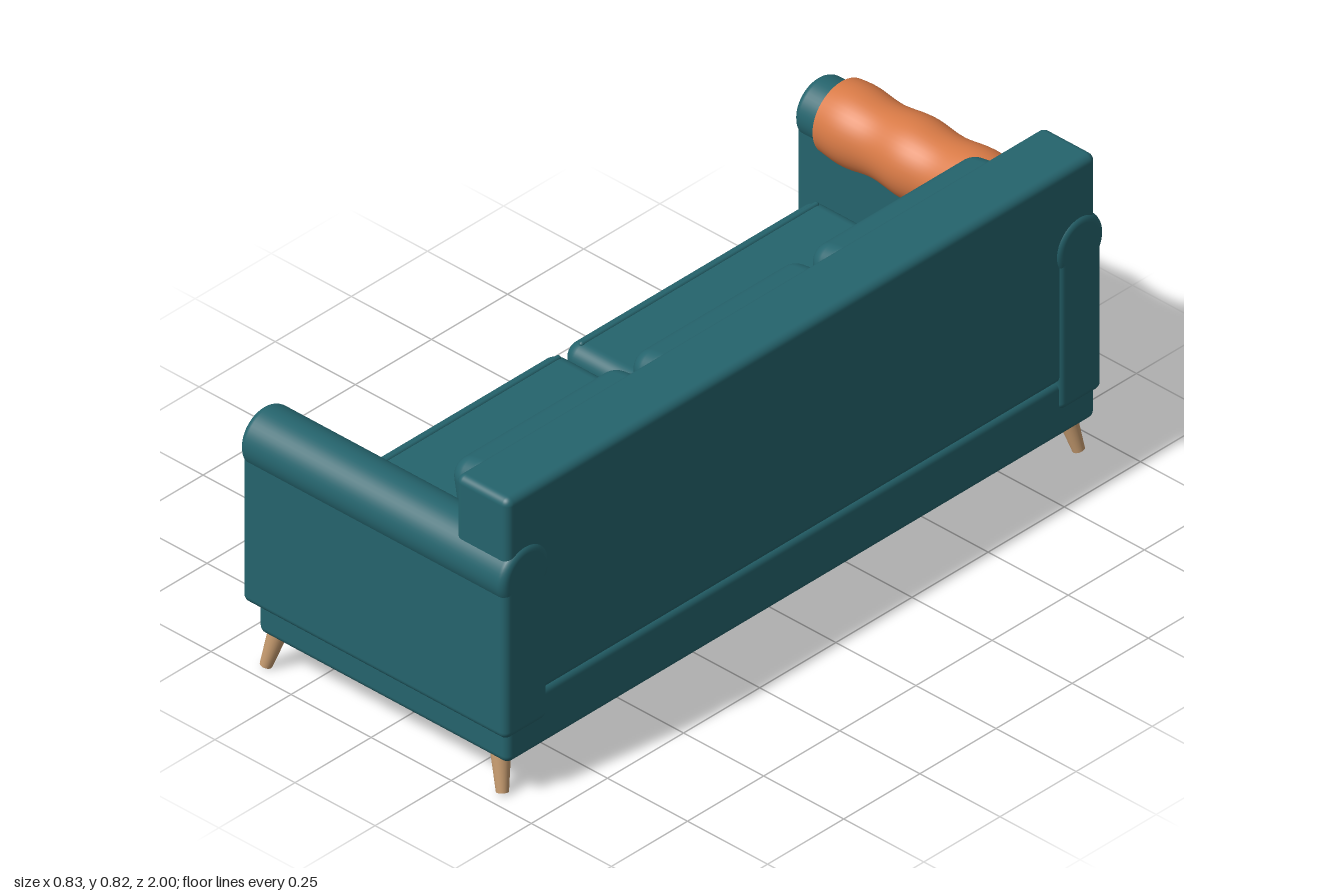
import * as THREE from 'three';
import { RoundedBoxGeometry } from 'three/addons/geometries/RoundedBoxGeometry.js';

const fabric = new THREE.MeshStandardMaterial({ color: 0x25646d });
fabric.name = 'teal fabric';
const wood = new THREE.MeshStandardMaterial({ color: 0xc79c70 });
wood.name = 'pale wood';
const blanket = new THREE.MeshStandardMaterial({ color: 0xd87a46, side: THREE.DoubleSide });
blanket.name = 'orange blanket';

const MID = 0.011; // the sofa body sits slightly off centre because the throw overhangs one arm

function add(parent, name, geometry, material, x = 0, y = 0, z = 0) {
  const mesh = new THREE.Mesh(geometry, material);
  mesh.name = name;
  mesh.position.set(x, y, z);
  parent.add(mesh);
  return mesh;
}

// Rounded box given by its extents along each axis
function softBox(parent, name, [x0, x1], [y0, y1], [z0, z1], radius) {
  const geometry = new RoundedBoxGeometry(x1 - x0, y1 - y0, z1 - z0, 5, radius);
  return add(parent, name, geometry, fabric, (x0 + x1) / 2, (y0 + y1) / 2, (z0 + z1) / 2);
}

// Cylinder with rounded rims, lying along x
function rollGeometry(radius, length, bevel) {
  const points = [new THREE.Vector2(0, -length / 2)];
  for (const end of [-1, 1]) {
    for (let i = 0; i <= 5; i++) {
      const a = (end < 0 ? i : 5 - i) / 5 * Math.PI / 2;
      points.push(new THREE.Vector2(
        radius - bevel + bevel * Math.sin(a),
        end * (length / 2 - bevel + bevel * Math.cos(a))));
    }
  }
  points.push(new THREE.Vector2(0, length / 2));
  return new THREE.LatheGeometry(points, 48).rotateZ(-Math.PI / 2);
}

// Blanket wrapped round the arm roll, with soft waves along its length
function throwGeometry(x0, x1, radius) {
  const geometry = new THREE.PlaneGeometry(1, 1, 48, 28);
  const p = geometry.attributes.position;
  const start = -0.08, end = Math.PI + 0.72;
  for (let i = 0; i < p.count; i++) {
    const x = THREE.MathUtils.lerp(x0, x1, p.getX(i) + 0.5);
    const t = p.getY(i) + 0.5;
    const a = THREE.MathUtils.lerp(end, start, t);
    const r = radius + 0.004 * Math.cos((x + 0.1) / 0.19 * Math.PI * 2 + 1.2 * (t - 0.5));
    p.setXYZ(i, x, r * Math.sin(a), -r * Math.cos(a));
  }
  geometry.computeVertexNormals();
  return geometry;
}

export function createModel() {
  const sofa = new THREE.Group();
  sofa.name = 'sofa';

  // Frame: base and tall backrest
  softBox(sofa, 'base', [-0.377, 0.405], [0.1, 0.255], [MID - 0.967, MID + 0.967], 0.02);
  softBox(sofa, 'backrest', [0.24, 0.406], [0.25, 0.824], [MID - 0.967, MID + 0.967], 0.02);

  // Arms: upright panel with a round roll on top
  for (const side of [-1, 1]) {
    const z = MID + side * 0.91;
    softBox(sofa, 'armPanel', [-0.415, 0.413], [0.175, 0.63], [z - 0.071, z + 0.071], 0.02);
    add(sofa, 'armRoll', rollGeometry(0.079, 0.828, 0.02), fabric, -0.001, 0.6, z);
  }

  // Seat cushions with piping along the front edge
  for (const side of [-1, 1]) {
    const z = MID + side * 0.424;
    softBox(sofa, 'seatCushion', [-0.358, 0.26], [0.262, 0.42], [z - 0.416, z + 0.416], 0.04);
    for (const [x, y] of [[-0.32, 0.418], [-0.352, 0.282]]) {
      const piping = new THREE.CapsuleGeometry(0.007, 0.77, 4, 10).rotateX(Math.PI / 2);
      add(sofa, 'seatPiping', piping, fabric, x, y, z);
    }
  }

  // Three loose back cushions, tipped slightly forward
  for (const z of [-0.582, 0.007, 0.596]) {
    const cushion = add(sofa, 'backCushion', new RoundedBoxGeometry(0.125, 0.36, 0.56, 6, 0.05),
      fabric, 0.197, 0.583, z);
    cushion.rotation.z = 0.17;
  }

  // Splayed tapered legs
  const up = new THREE.Vector3(0, 1, 0);
  for (const sx of [-1, 1]) {
    for (const sz of [-1, 1]) {
      const top = new THREE.Vector3(sx * 0.342, 0.12, MID + sz * 0.925);
      const foot = new THREE.Vector3(sx * 0.369, 0.004, MID + sz * 0.946);
      const axis = top.clone().sub(foot);
      const leg = add(sofa, 'leg', new THREE.CylinderGeometry(0.026, 0.015, axis.length(), 24), wood);
      leg.position.copy(top).add(foot).multiplyScalar(0.5);
      leg.quaternion.setFromUnitVectors(up, axis.normalize());
    }
  }

  // Throw draped over one arm
  add(sofa, 'throwBlanket', throwGeometry(-0.34, 0.186, 0.095), blanket, 0, 0.6, MID - 0.911);

  return sofa;
}
